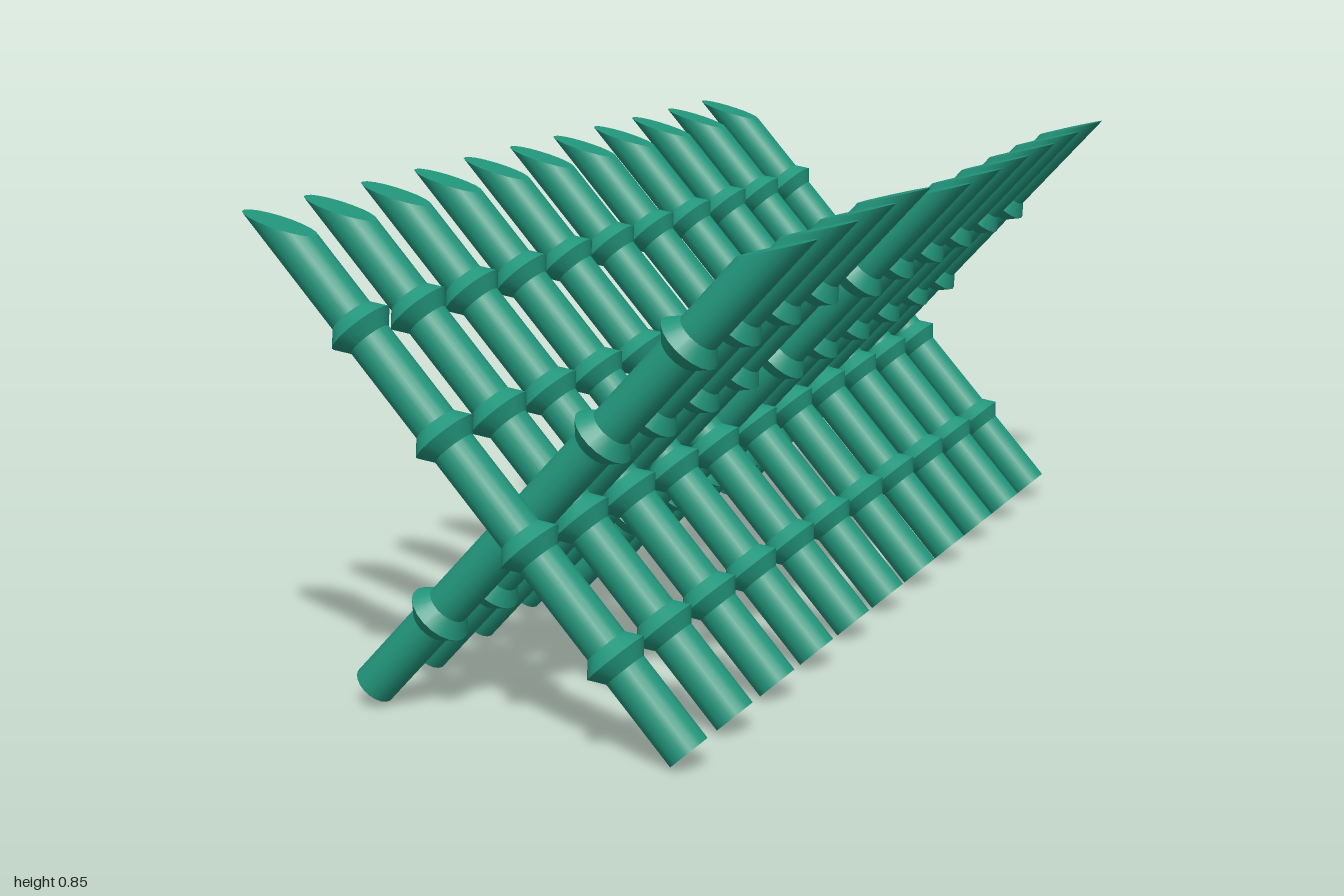
import * as THREE from 'three';
import { mergeGeometries } from 'three/addons/utils/BufferGeometryUtils.js';

const R = 0.0375, NODE_R = 0.057, NODE_H = 0.027;
const SHORT = 1.015, LONG = 1.13, SIDES = 20;
const NODES = [0.188, 0.411, 0.634, 0.856];

// Straight stalk, base at the origin, with its top sliced at a slant
function stalkGeometry() {
  const mid = (SHORT + LONG) / 2, slope = (LONG - SHORT) / 2 / R;
  const g = new THREE.CylinderGeometry(R, R, mid, SIDES);
  g.translate(0, mid / 2, 0);
  const p = g.attributes.position, n = g.attributes.normal;
  const cut = new THREE.Vector3(slope, 1, 0).normalize();
  for (let i = 0; i < p.count; i++) {
    if (p.getY(i) < mid / 2) continue;
    p.setY(i, mid - p.getX(i) * slope);
    if (n.getY(i) > 0.9) n.setXYZ(i, cut.x, cut.y, cut.z);
  }
  return g;
}

// Sharp-ridged ring: two open cones meeting at the widest point
function nodeGeometry() {
  const lower = new THREE.CylinderGeometry(NODE_R, R - 0.002, NODE_H, SIDES, 1, true);
  const upper = new THREE.CylinderGeometry(R - 0.002, NODE_R, NODE_H, SIDES, 1, true);
  lower.translate(0, -NODE_H / 2, 0);
  upper.translate(0, NODE_H / 2, 0);
  return mergeGeometries([lower, upper]);
}

export function createModel() {
  const model = new THREE.Group();
  model.name = 'bambooFence';
  const bamboo = new THREE.MeshStandardMaterial({ color: 0x22967c });
  bamboo.name = 'bamboo green';
  const stalk = stalkGeometry(), ring = nodeGeometry();

  function pole(name, x, y, z, lean, mirrored) {
    const g = new THREE.Group();
    g.name = name;
    const s = new THREE.Mesh(stalk, bamboo);
    s.name = 'stalk';
    g.add(s);
    for (const h of NODES) {
      const m = new THREE.Mesh(ring, bamboo);
      m.name = 'node';
      m.position.y = h;
      g.add(m);
    }
    g.position.set(x, y, z);
    g.rotation.set(0, mirrored ? Math.PI : 0, lean);
    model.add(g);
  }

  const STEP = 0.1886;
  // Eleven poles leaning right
  for (let i = 0; i < 11; i++) pole('rightLeaningPole', 0.297, 0.029, (i - 5) * STEP, 0.729, false);
  // Ten poles between them leaning left, drifting slightly in runs of six
  for (let i = 0; i < 10; i++) {
    const k = i % 6 - 2.5;
    pole('leftLeaningPole', -0.322 + k * 0.0026, 0.037 - k * 0.003, (i - 4.5) * STEP, 0.745, true);
  }
  return model;
}
